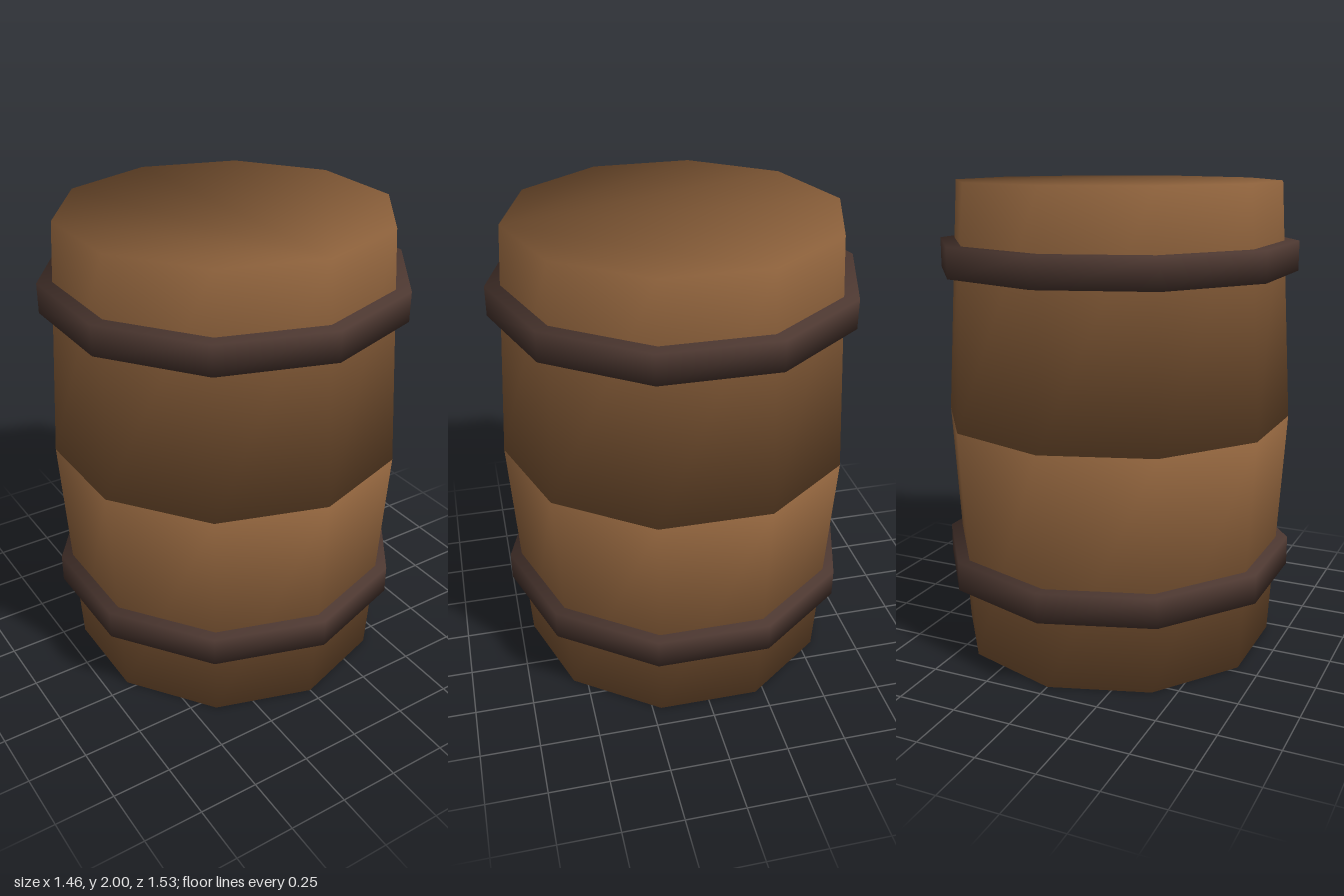
import * as THREE from 'three';

const SIDES = 10;

// Closed ten-sided frustum whose rim normals blend the walls with the end cap
function softFrustum(y0, r0, y1, r1) {
  const pos = [], nor = [], index = [];
  const corner = Math.PI / SIDES;
  const slope = (r0 - r1) * Math.cos(corner) / (y1 - y0);
  const wall = 1 / Math.hypot(1, slope);
  const capAngle = Math.PI - 2 * corner; // corner angle of the cap
  const wallAngle = Math.PI;             // two wall corners of about 90 degrees
  const n = new THREE.Vector3();
  for (const [y, r, dir] of [[y0, r0, -1], [y1, r1, 1]]) {
    for (let i = 0; i < SIDES; i++) {
      const a = i / SIDES * Math.PI * 2, s = Math.sin(a), c = Math.cos(a);
      const out = wallAngle * wall * Math.cos(corner);
      n.set(s * out, dir * capAngle + wallAngle * wall * slope, c * out).normalize();
      pos.push(s * r, y, c * r);
      nor.push(n.x, n.y, n.z);
    }
  }
  for (let i = 0; i < SIDES; i++) {
    const j = (i + 1) % SIDES, ti = i + SIDES, tj = j + SIDES;
    index.push(i, j, tj, i, tj, ti); // wall
    if (i > 0 && i < SIDES - 1) {
      index.push(SIDES, ti, tj);     // top cap
      index.push(0, j, i);           // bottom cap
    }
  }
  const g = new THREE.BufferGeometry();
  g.setAttribute('position', new THREE.Float32BufferAttribute(pos, 3));
  g.setAttribute('normal', new THREE.Float32BufferAttribute(nor, 3));
  g.setIndex(index);
  return g;
}

export function createModel() {
  const model = new THREE.Group();
  model.name = 'barrel';
  const wood = new THREE.MeshStandardMaterial({ name: 'wood brown', color: 0x8a5f3a });
  const iron = new THREE.MeshStandardMaterial({ name: 'dark iron', color: 0x4d3831 });

  const add = (name, material, ...dims) => {
    const mesh = new THREE.Mesh(softFrustum(...dims), material);
    mesh.name = name;
    model.add(mesh);
  };

  // Two halves meeting at the widest line
  add('lowerBody', wood, 0, 0.69, 1, 0.75);
  add('upperBody', wood, 1, 0.75, 2, 0.69);

  // Hoops
  add('lowerHoop', iron, 0.315, 0.767, 0.44, 0.767);
  add('upperHoop', iron, 1.63, 0.767, 1.755, 0.767);

  return model;
}
